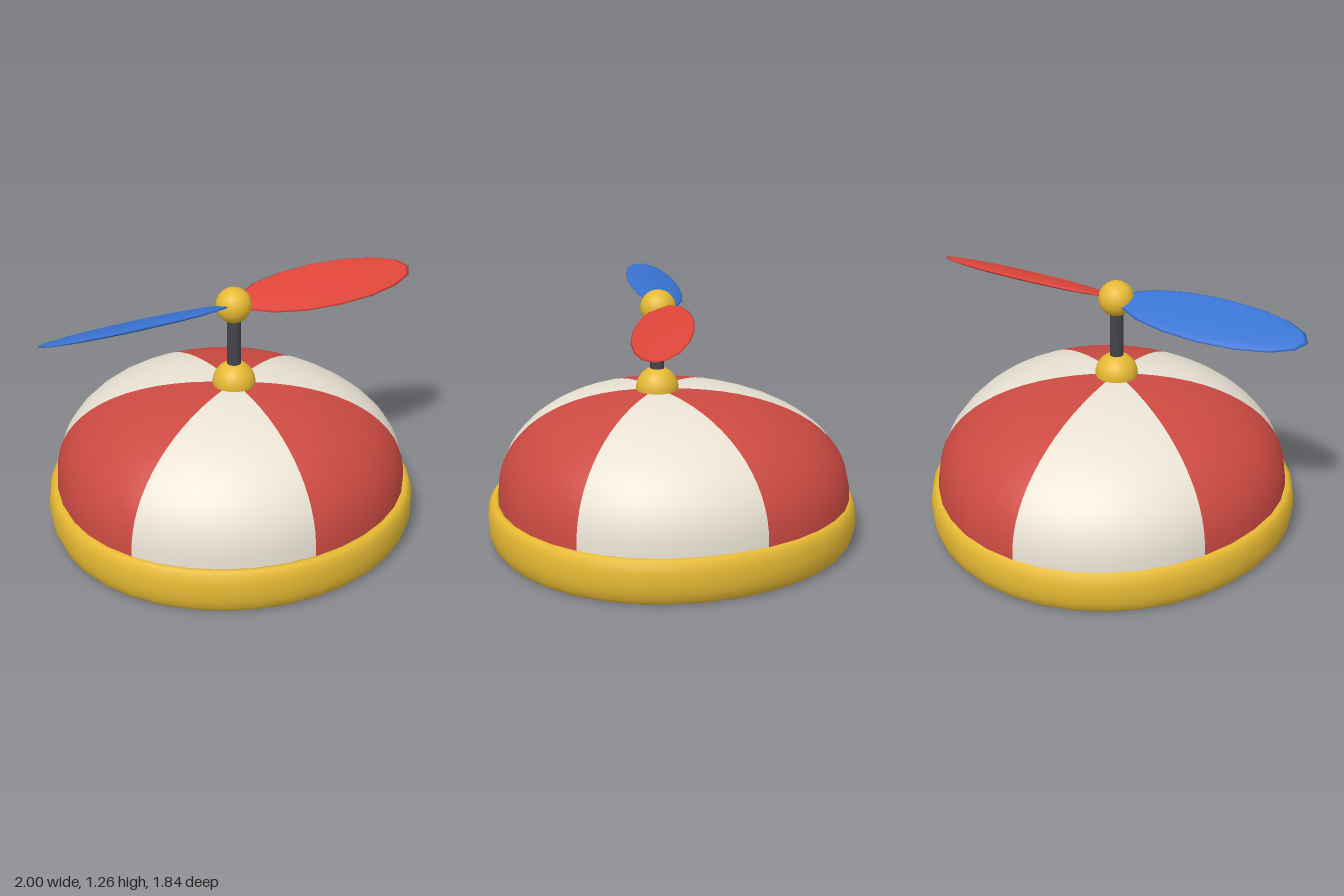
import * as THREE from 'three';

const AXIS_Z = 0.07; // the crown's peak sits forward of the middle

const material = (color, side = THREE.FrontSide) =>
  new THREE.MeshStandardMaterial({ color, side });

const gold = material(0xe6b933);
const red = material(0xcc4a42, THREE.DoubleSide);
const cream = material(0xe9e2d4, THREE.DoubleSide);

function add(parent, name, geometry, mat, x = 0, y = 0, z = 0) {
  const mesh = new THREE.Mesh(geometry, mat);
  mesh.name = name;
  mesh.position.set(x, y, z);
  parent.add(mesh);
  return mesh;
}

// Shortens the front half and lengthens the back half, keeping normals smooth
function stretch(geometry, front, back) {
  const p = geometry.attributes.position;
  const n = geometry.attributes.normal;
  const v = new THREE.Vector3();
  for (let i = 0; i < p.count; i++) {
    const s = p.getZ(i) > 0 ? front : back;
    p.setZ(i, p.getZ(i) * s);
    v.fromBufferAttribute(n, i);
    v.z /= s;
    v.normalize();
    n.setXYZ(i, v.x, v.y, v.z);
  }
  return geometry;
}

// Crown outline: straight wall, then a full rounded top
function crownProfile() {
  const points = [new THREE.Vector2(0.873, 0.03), new THREE.Vector2(0.872, 0.12)];
  const steps = 16;
  for (let i = 0; i <= steps; i++) {
    const a = (i / steps) * Math.PI / 2;
    const e = 2 / 2.25;
    const r = i === steps ? 0 : 0.87 * Math.cos(a) ** e;
    points.push(new THREE.Vector2(r, 0.22 + 0.545 * Math.sin(a) ** e));
  }
  return points;
}

export function createModel() {
  const model = new THREE.Group();
  model.name = 'propellerCap';

  // Six crown panels in alternating colours
  const crown = new THREE.Group();
  crown.name = 'crown';
  model.add(crown);
  const profile = crownProfile();
  for (let i = 0; i < 6; i++) {
    const panel = new THREE.LatheGeometry(profile, 6, i * Math.PI / 3, Math.PI / 3);
    add(crown, `crownPanel${i + 1}`, stretch(panel, 0.914, 1.103), i % 2 ? cream : red, 0, 0, AXIS_Z);
  }

  // Rounded band around the rim, its top edge just inside the crown
  const bandProfile = [
    [0.845, 0.012], [0.858, 0], [0.878, 0.003], [0.897, 0.025], [0.911, 0.065], [0.916, 0.11],
    [0.914, 0.16], [0.905, 0.2], [0.888, 0.219], [0.87, 0.222], [0.857, 0.218],
    [0.856, 0.2], [0.88, 0.19], [0.88, 0.04], [0.845, 0.012],
  ].map(([r, y]) => new THREE.Vector2(r, y));
  add(model, 'brimBand', stretch(new THREE.LatheGeometry(bandProfile, 36), 0.927, 1.085), gold, 0, 0, AXIS_Z);

  // Button, stem and hub
  add(model, 'topButton', new THREE.SphereGeometry(0.105, 24, 16), gold, 0, 0.77, AXIS_Z);
  add(model, 'stem', new THREE.CylinderGeometry(0.034, 0.034, 0.4, 16), material(0x44444c), 0, 0.96, AXIS_Z);
  const propeller = new THREE.Group();
  propeller.name = 'propeller';
  propeller.position.set(0, 1.172, AXIS_Z - 0.005);
  model.add(propeller);
  add(propeller, 'hub', new THREE.SphereGeometry(0.087, 20, 14), gold);

  // Two flat oval blades pitched in opposite directions
  for (const side of [1, -1]) {
    const blade = add(propeller, side > 0 ? 'leftBlade' : 'rightBlade',
      new THREE.SphereGeometry(1, 16, 10), material(side > 0 ? 0xe0463a : 0x3a74d4), side * 0.51, 0.003, 0);
    blade.scale.set(0.49, 0.02, 0.154);
    blade.rotation.x = side * 0.35;
  }

  return model;
}
